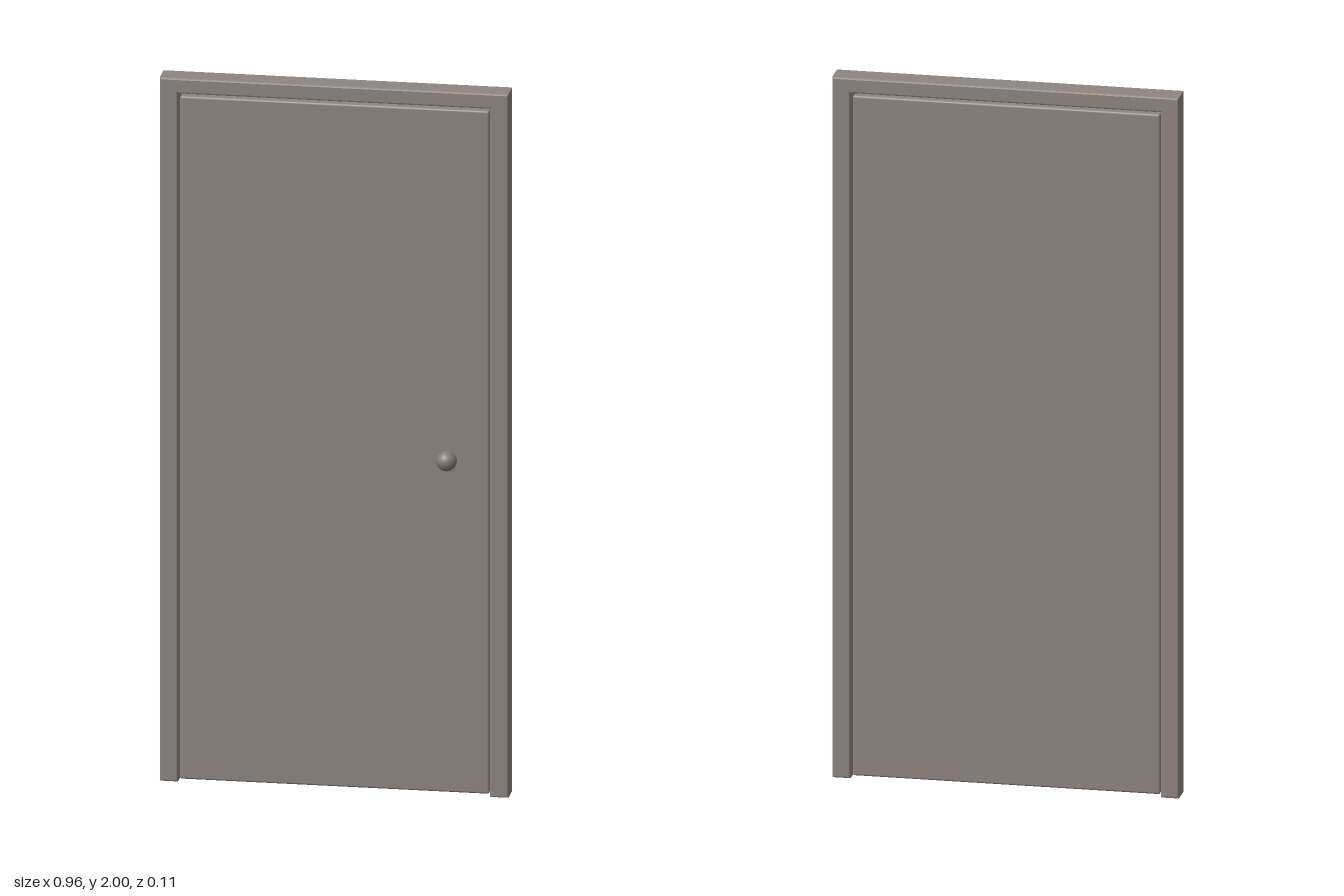
import * as THREE from 'three';
import { RoundedBoxGeometry } from 'three/addons/geometries/RoundedBoxGeometry.js';

const paint = new THREE.MeshStandardMaterial({ name: 'taupePaint', color: 0x8d8580 });
const metal = new THREE.MeshStandardMaterial({ name: 'knobMetal', color: 0x827c78 });

function addPart(group, name, geometry, material, x, y, z) {
  const mesh = new THREE.Mesh(geometry, material);
  mesh.name = name;
  mesh.position.set(x, y, z);
  group.add(mesh);
}

export function createModel() {
  const group = new THREE.Group();
  group.name = 'door';

  // Frame: two jambs and a header in one piece, with softened edges
  const outer = 0.48, inner = 0.43, top = 2, head = 1.956;
  const back = -0.055, front = 0.018, bevel = 0.005;
  const outline = new THREE.Shape([
    [-outer, 0], [-inner, 0], [-inner, head], [inner, head],
    [inner, 0], [outer, 0], [outer, top], [-outer, top],
  ].map(([x, y]) => new THREE.Vector2(x, y)));
  const frame = new THREE.ExtrudeGeometry(outline, {
    depth: front - back - 2 * bevel,
    bevelSize: bevel, bevelThickness: bevel, bevelOffset: -bevel, bevelSegments: 2,
  });
  addPart(group, 'frame', frame, paint, 0, 0, back + bevel);

  // Door leaf: slightly recessed on both sides, with a narrow gap all round
  const bottom = 0.005, leafTop = 1.946, thickness = 0.048;
  const leaf = new RoundedBoxGeometry(0.852, leafTop - bottom, thickness, 3, 0.006);
  addPart(group, 'doorLeaf', leaf, paint, 0, (leafTop + bottom) / 2, -0.018);

  // Round knob, set into the front of the leaf
  addPart(group, 'knob', new THREE.SphereGeometry(0.028, 32, 20), metal, 0.312, 0.953, 0.027);

  return group;
}
